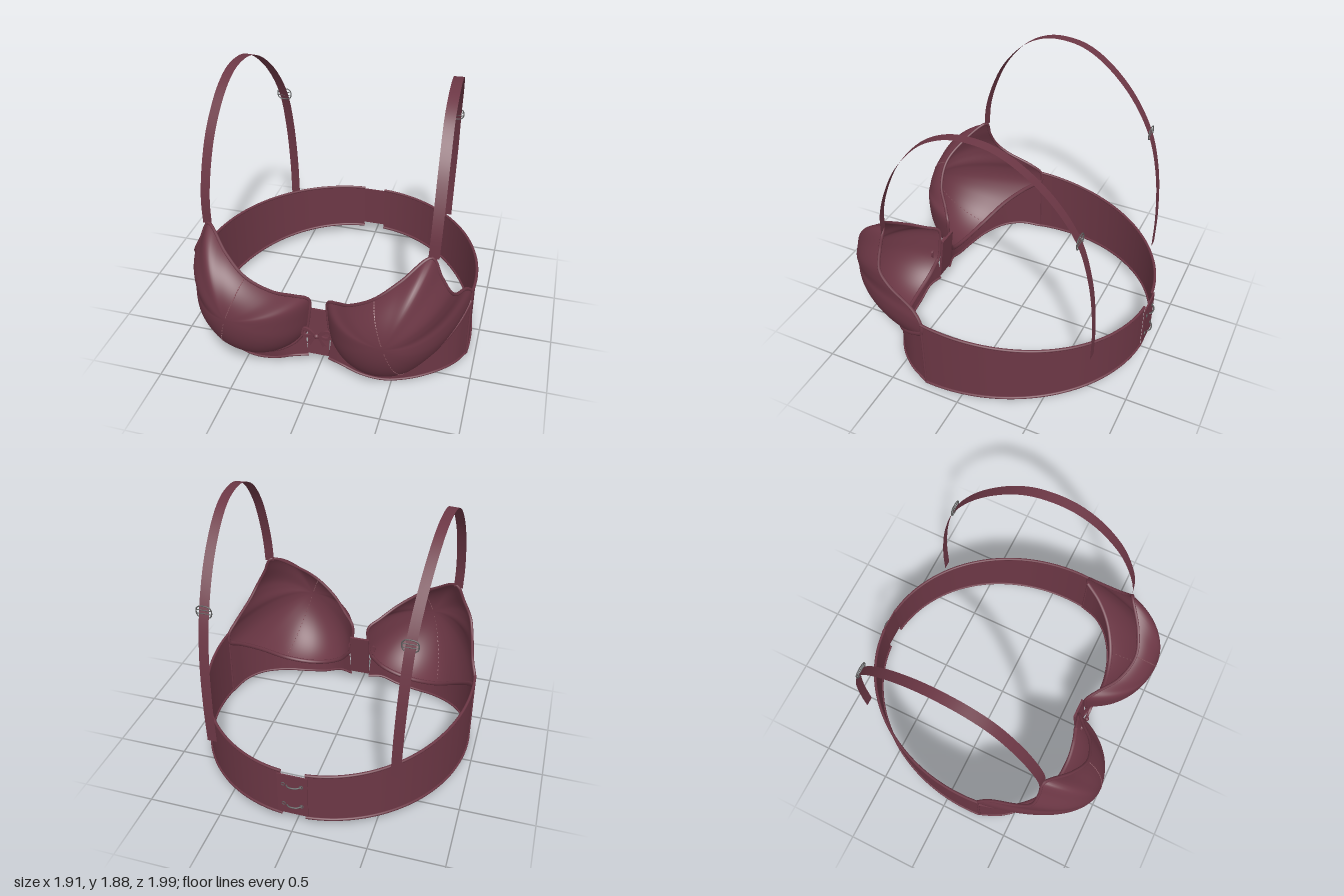
import * as THREE from 'three';

const fabric = new THREE.MeshStandardMaterial({ color: 0x6c3745, side: THREE.DoubleSide });
fabric.name = 'wine fabric';
const thread = new THREE.MeshStandardMaterial({ color: 0x85525c });
thread.name = 'thread';
const metal = new THREE.MeshStandardMaterial({ color: 0x5c5c5c });
metal.name = 'grey metal';

const V = (x, y, z) => new THREE.Vector3(x, y, z);
const curve = (pts, closed = false) =>
  new THREE.CatmullRomCurve3(pts.map(p => V(...p)), closed, 'centripetal');

function add(parent, name, geometry, material = fabric) {
  const mesh = new THREE.Mesh(geometry, material);
  mesh.name = name;
  parent.add(mesh);
  return mesh;
}

// Grid surface from fn(u, v); wrap joins the u ends smoothly
function surface(nu, nv, fn, wrap = false) {
  const pos = [], idx = [], cols = wrap ? nu : nu + 1;
  for (let j = 0; j <= nv; j++)
    for (let i = 0; i < cols; i++) pos.push(...fn(i / nu, j / nv).toArray());
  for (let j = 0; j < nv; j++)
    for (let i = 0; i < nu; i++) {
      const a = j * cols + i, b = j * cols + (i + 1) % cols, c = a + cols, d = b + cols;
      idx.push(a, c, b, b, c, d);
    }
  const g = new THREE.BufferGeometry();
  g.setAttribute('position', new THREE.Float32BufferAttribute(pos, 3));
  g.setIndex(idx);
  g.computeVertexNormals();
  return g;
}

const tube = (c, r, n = 64, closed = false) => new THREE.TubeGeometry(c, n, r, 8, closed);

// Cup rim: neckline, inner edge, underwire line, side edge
const neck = [[0.71, 1.04, 0.64], [0.55, 0.925, 0.77], [0.41, 0.815, 0.83], [0.25, 0.7, 0.79],
  [0.14, 0.62, 0.7], [0.065, 0.56, 0.64]];
const under = [[0.065, 0.43, 0.64], [0.09, 0.3, 0.65], [0.17, 0.2, 0.68], [0.3, 0.13, 0.7],
  [0.45, 0.11, 0.69], [0.62, 0.15, 0.64], [0.78, 0.27, 0.53], [0.88, 0.38, 0.4], [0.935, 0.47, 0.27]];
const side = [[0.935, 0.55, 0.27], [0.905, 0.62, 0.34], [0.86, 0.72, 0.54], [0.83, 0.8, 0.62], [0.77, 0.92, 0.64]];
const rimPoints = [...neck, ...under, ...side];
const rim = curve(rimPoints, true);
const crown = V(0.5, 0.58, 0.99);

// Domed cup: arcs running from the crown to the rim
function cupPoint(t, r) {
  const edge = rim.getPoint(t), k = 1.25;
  const f = Math.sin(r * k) / Math.sin(k), g = (1 - Math.cos(r * k)) / (1 - Math.cos(k));
  return V(crown.x + (edge.x - crown.x) * f, crown.y + (edge.y - crown.y) * f,
    crown.z + (edge.z - crown.z) * g);
}

// Back band follows an ellipse and tapers towards the closure
const bandStart = -0.11, bandEnd = 1.486;
function bandPoint(u, v) {
  const a = bandStart + (bandEnd - bandStart) * u;
  const z = 0.15 - 1.1 * Math.sin(a), k = (0.27 - z) / 1.21;
  const top = 0.55 - 0.09 * k, bottom = 0.015 + 0.085 * k;
  return V(0.945 * Math.cos(a), bottom + (top - bottom) * v, z);
}
const bandEdge = v => new THREE.CatmullRomCurve3(
  Array.from({ length: 25 }, (_, i) => bandPoint(i / 24, v)));

const strapPath = curve([[0.72, 1.03, 0.635], [0.725, 1.2, 0.62], [0.725, 1.4, 0.56], [0.72, 1.6, 0.46],
  [0.71, 1.78, 0.3], [0.705, 1.86, 0.15], [0.7, 1.88, 0.02], [0.692, 1.86, -0.14], [0.68, 1.78, -0.3],
  [0.66, 1.6, -0.5], [0.64, 1.35, -0.66], [0.63, 1.05, -0.745], [0.62, 0.7, -0.78], [0.615, 0.43, -0.78]]);

function buildHalf(name) {
  const half = new THREE.Group();
  half.name = name;

  add(half, 'cup', surface(120, 24, cupPoint, true));
  add(half, 'cupPiping', tube(rim, 0.011, 160, true));

  // Stitched seam over the crown
  for (const index of [2, 11])
    for (let i = 0; i < 16; i++) {
      const t = index / rimPoints.length, r = 0.08 + i * 0.056;
      const p = cupPoint(t, r), q = cupPoint(t, r + 0.02);
      const stitch = add(half, 'stitch', new THREE.BoxGeometry(0.005, 0.005, 0.013), thread);
      stitch.position.copy(p);
      stitch.lookAt(q);
    }

  // Cradle below the cup
  const cradleTop = curve(under.slice(1));
  const cradleBottom = curve([[0.07, 0.1, 0.655], [0.17, 0.095, 0.685], [0.3, 0.05, 0.69], [0.45, 0.03, 0.68],
    [0.62, 0.04, 0.63], [0.78, 0.05, 0.53], [0.88, 0.04, 0.41], [0.937, 0.012, 0.27]]);
  add(half, 'cradle', surface(60, 6, (u, v) =>
    cradleBottom.getPoint(u).lerp(cradleTop.getPoint(u), v)));
  add(half, 'cradlePiping', tube(cradleBottom, 0.009));
  add(half, 'underwireCasing', tube(cradleTop, 0.016));

  // Band wing with bound edges
  add(half, 'bandWing', surface(60, 4, bandPoint));
  add(half, 'bandTopPiping', tube(bandEdge(1), 0.01));
  add(half, 'bandBottomPiping', tube(bandEdge(0), 0.01));
  add(half, 'sideSeam', tube(new THREE.LineCurve3(V(0.94, 0.015, 0.27), V(0.94, 0.55, 0.27)), 0.008, 2));

  // Shoulder strap
  add(half, 'strap', surface(90, 2, (u, v) => {
    const p = strapPath.getPoint(u);
    p.x += (v - 0.5) * 0.065;
    p.z -= (v - 0.5) * 0.012 * (1 - u);
    return p;
  }));

  // Strap adjuster: rounded frame with two bars
  const slider = new THREE.Group();
  slider.name = 'strapAdjuster';
  slider.position.set(0.638, 1.35, -0.667);
  half.add(slider);
  add(slider, 'adjusterFrame', tube(curve([[-0.048, -0.02, 0], [-0.03, -0.037, 0], [0.03, -0.037, 0],
    [0.048, -0.02, 0], [0.048, 0.02, 0], [0.03, 0.037, 0], [-0.03, 0.037, 0], [-0.048, 0.02, 0]], true),
  0.004, 48, true), metal);
  for (const y of [-0.012, 0.012])
    add(slider, 'adjusterBar', tube(new THREE.LineCurve3(V(-0.046, y, 0), V(0.046, y, 0)), 0.003, 2), metal);

  // Bow loop and tail
  const loop = new THREE.Shape();
  loop.moveTo(0.008, 0.318);
  loop.bezierCurveTo(0.04, 0.37, 0.1, 0.385, 0.108, 0.345);
  loop.bezierCurveTo(0.115, 0.285, 0.06, 0.275, 0.008, 0.302);
  const hole = new THREE.Path();
  hole.moveTo(0.035, 0.318);
  hole.bezierCurveTo(0.05, 0.305, 0.09, 0.3, 0.09, 0.335);
  hole.bezierCurveTo(0.085, 0.355, 0.055, 0.345, 0.035, 0.318);
  loop.holes.push(hole);
  const tail = new THREE.Shape([[0.0, 0.31], [0.018, 0.305], [0.068, 0.235], [0.052, 0.238], [0.042, 0.22]]
    .map(p => new THREE.Vector2(...p)));
  const depth = { depth: 0.014, bevelEnabled: false, curveSegments: 10 };
  add(half, 'bowLoop', new THREE.ExtrudeGeometry(loop, depth)).position.z = 0.685;
  add(half, 'bowTail', new THREE.ExtrudeGeometry(tail, depth)).position.z = 0.68;
  return half;
}

export function createModel() {
  const model = new THREE.Group();
  model.name = 'brassiere';
  const left = buildHalf('leftHalf'), right = buildHalf('rightHalf');
  right.scale.x = -1;
  model.add(left, right);

  // Centre gore, leaning forward at the bottom
  const gore = add(model, 'centreGore', new THREE.BoxGeometry(0.145, 0.345, 0.016));
  gore.position.set(0, 0.295, 0.635);
  gore.rotation.x = -0.13;

  const knot = add(model, 'bowKnot', new THREE.SphereGeometry(0.018, 16, 12));
  knot.position.set(0, 0.31, 0.695);

  // Back closure with hooks
  add(model, 'closurePanel', new THREE.BoxGeometry(0.2, 0.32, 0.008)).position.set(0, 0.285, -0.957);
  for (const y of [0.205, 0.37]) {
    for (const x of [-0.06, 0.06])
      add(model, 'eyelet', new THREE.TorusGeometry(0.011, 0.003, 6, 14), metal).position.set(x, y, -0.964);
    add(model, 'hook', tube(curve([[-0.06, y, -0.964], [-0.03, y, -0.985], [0.02, y, -0.985],
      [0.035, y, -0.97]]), 0.005, 20), metal);
  }
  return model;
}
